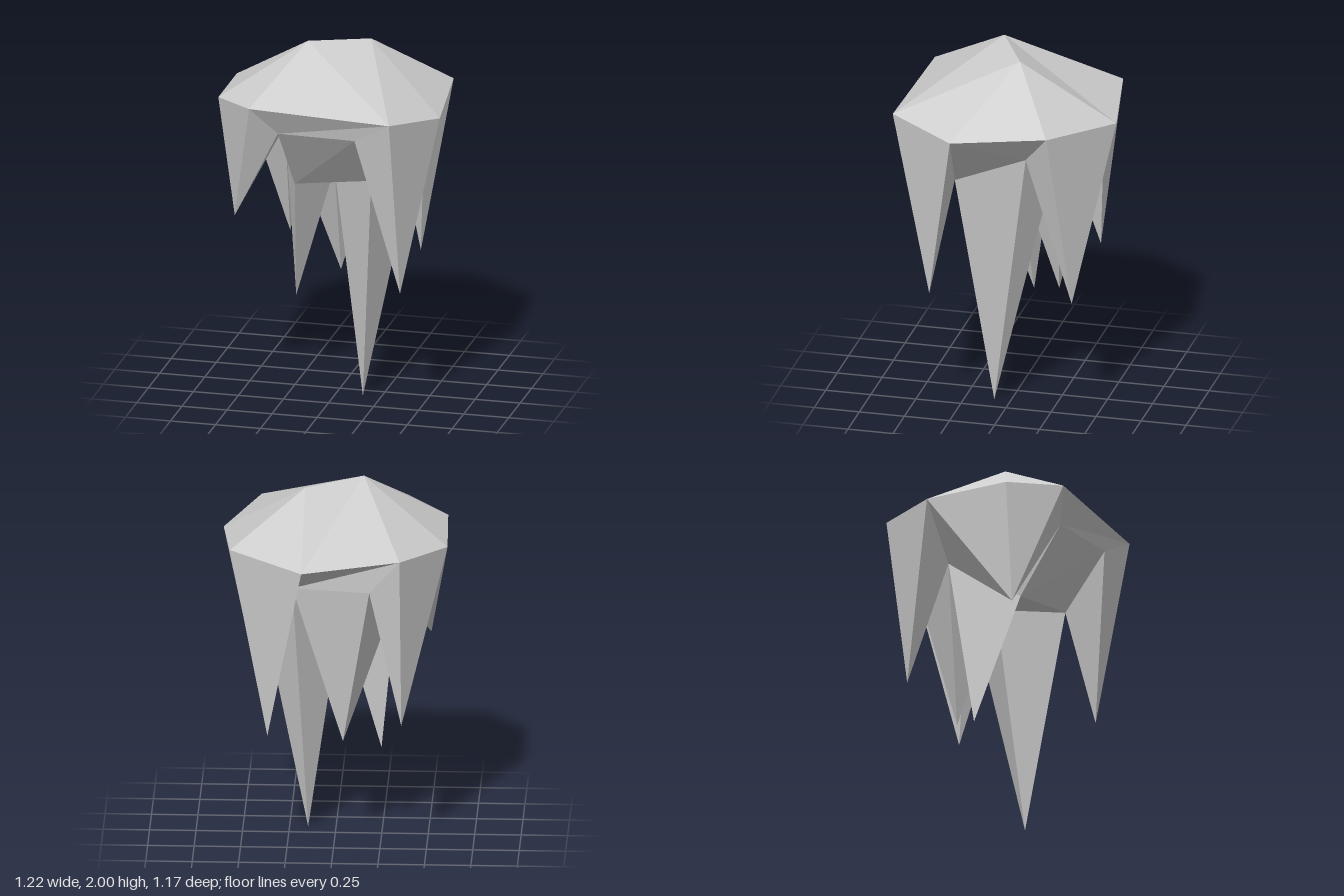
import * as THREE from 'three';

// Corners: A-H outer rim, P Q crown ridge, the rest lie on the underside
const V = {
  A: [-0.365, 1.74, 0.55], B: [0.42, 1.72, 0.585], C: [0.61, 1.66, 0.22], D: [0.555, 1.71, -0.3],
  E: [0.16, 1.68, -0.59], F: [-0.365, 1.72, -0.495], G: [-0.61, 1.69, -0.145], H: [-0.595, 1.71, 0.315],
  P: [-0.15, 2, 0.11], Q: [0.16, 1.985, -0.055],
  I: [-0.225, 1.585, 0.47], J: [0.215, 1.6, 0.53], K: [0.245, 1.295, 0.285], L: [-0.195, 1.22, 0.22],
  M: [0.43, 1.53, -0.155], N: [0.22, 1.49, -0.28], R: [-0.2, 1.52, -0.43], S: [-0.34, 1.42, -0.14],
  O: [-0.03, 1.25, 0],
};

const material = new THREE.MeshStandardMaterial({ color: 0xcccccc, flatShading: true });

function facetMesh(name, triangles) {
  const geometry = new THREE.BufferGeometry();
  geometry.setAttribute('position', new THREE.Float32BufferAttribute(triangles.flat(2), 3));
  geometry.computeVertexNormals();
  const mesh = new THREE.Mesh(geometry, material);
  mesh.name = name;
  return mesh;
}

// Split each lettered polygon into a fan of triangles
function fans(polygons) {
  return polygons.flatMap((poly) => {
    const p = [...poly].map((k) => V[k]);
    return p.slice(2).map((c, i) => [p[0], p[i + 1], c]);
  });
}

// Pull a base polygon down to a point
function spike(name, base, tip) {
  const p = [...base].map((k) => V[k]);
  return facetMesh(name, p.map((a, i) => [a, p[(i + 1) % p.length], tip]));
}

export function createModel() {
  const group = new THREE.Group();
  group.name = 'stalactiteRock';

  // Faceted cap
  group.add(facetMesh('rockCap', fans(['PAB', 'PBQ', 'QBC', 'QCD', 'QDE', 'PQEF', 'PFG', 'PGH', 'PHA'])));

  // Sloping rock between the hanging spikes
  group.add(facetMesh('underside', fans(['BAIJ', 'CKMD', 'FENR', 'JILK', 'ISL', 'KLO'])));

  // Hanging spikes: base corners and tip
  const spikes = [
    ['longCentreSpike', 'NMKO', [0.15, 0, 0.09]],
    ['innerRightSpike', 'LSO', [-0.25, 0.5, -0.03]],
    ['innerBackSpike', 'SRNO', [-0.05, 0.6, -0.22]],
    ['frontLeftSpike', 'CBJK', [0.43, 0.7, 0.38]],
    ['backLeftSpike', 'EDMN', [0.35, 0.685, -0.39]],
    ['backRightSpike', 'GFRS', [-0.37, 0.745, -0.37]],
    ['frontRightSpike', 'AHGSI', [-0.505, 1.045, 0.31]],
  ];
  for (const [name, base, tip] of spikes) group.add(spike(name, base, tip));

  return group;
}
